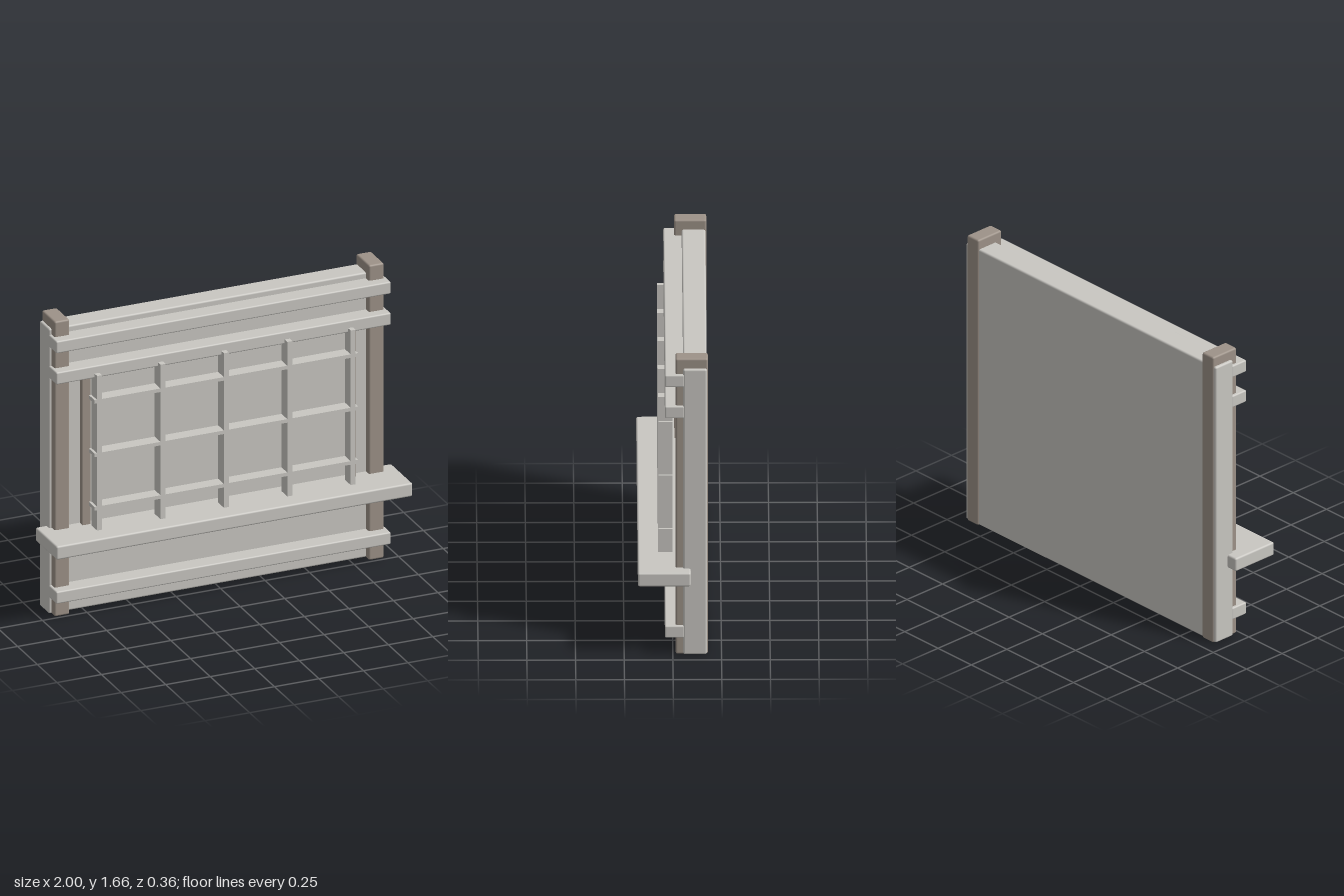
import * as THREE from 'three';
import { RoundedBoxGeometry } from 'three/addons/geometries/RoundedBoxGeometry.js';

export function createModel() {
  const model = new THREE.Group();
  model.name = 'latticeWindowWall';

  const plaster = new THREE.MeshStandardMaterial({ color: 0xc9c7c2 });
  plaster.name = 'pale grey';
  const timber = new THREE.MeshStandardMaterial({ color: 0x9d9288 });
  timber.name = 'grey brown';

  // Box between two corners, with softened edges when radius is above zero
  function block(name, material, [x0, x1], [y0, y1], [z0, z1], radius = 0.01) {
    const size = [x1 - x0, y1 - y0, z1 - z0];
    const geometry = radius > 0
      ? new RoundedBoxGeometry(...size, 2, radius)
      : new THREE.BoxGeometry(...size);
    const mesh = new THREE.Mesh(geometry, material);
    mesh.name = name;
    mesh.position.set((x0 + x1) / 2, (y0 + y1) / 2, (z0 + z1) / 2);
    model.add(mesh);
  }

  // Wall panel
  block('wallPanel', plaster, [-0.94, 0.94], [0.003, 1.603], [-0.175, -0.053]);

  // Corner posts and window jambs, mirrored
  for (const [side, s] of [['left', 1], ['right', -1]]) {
    const span = (a, b) => (s > 0 ? [a, b] : [-b, -a]);
    block(side + 'Post', timber, span(0.84, 0.925), [0, 1.657], [-0.18, -0.014]);
    block(side + 'Jamb', timber, span(0.722, 0.767), [0.44, 1.36], [-0.06, -0.016], 0);
  }

  // Horizontal rails
  for (const y of [0.13, 0.427, 1.362, 1.537]) {
    block('rail', plaster, [-0.94, 0.94], [y - 0.034, y + 0.034], [-0.06, 0.041], 0.008);
  }

  // Projecting sill
  block('sill', plaster, [-1, 1], [0.41, 0.486], [-0.092, 0.18]);

  // Window lattice
  for (let i = -2; i <= 2; i++) {
    const x = i * 0.356;
    block('latticeUpright', plaster, [x - 0.014, x + 0.014], [0.47, 1.354], [0, 0.075], 0);
  }
  for (const y of [0.61, 0.91, 1.21]) {
    block('latticeCrossbar', plaster, [-0.74, 0.74], [y - 0.01, y + 0.01], [0.001, 0.074], 0);
  }

  return model;
}
